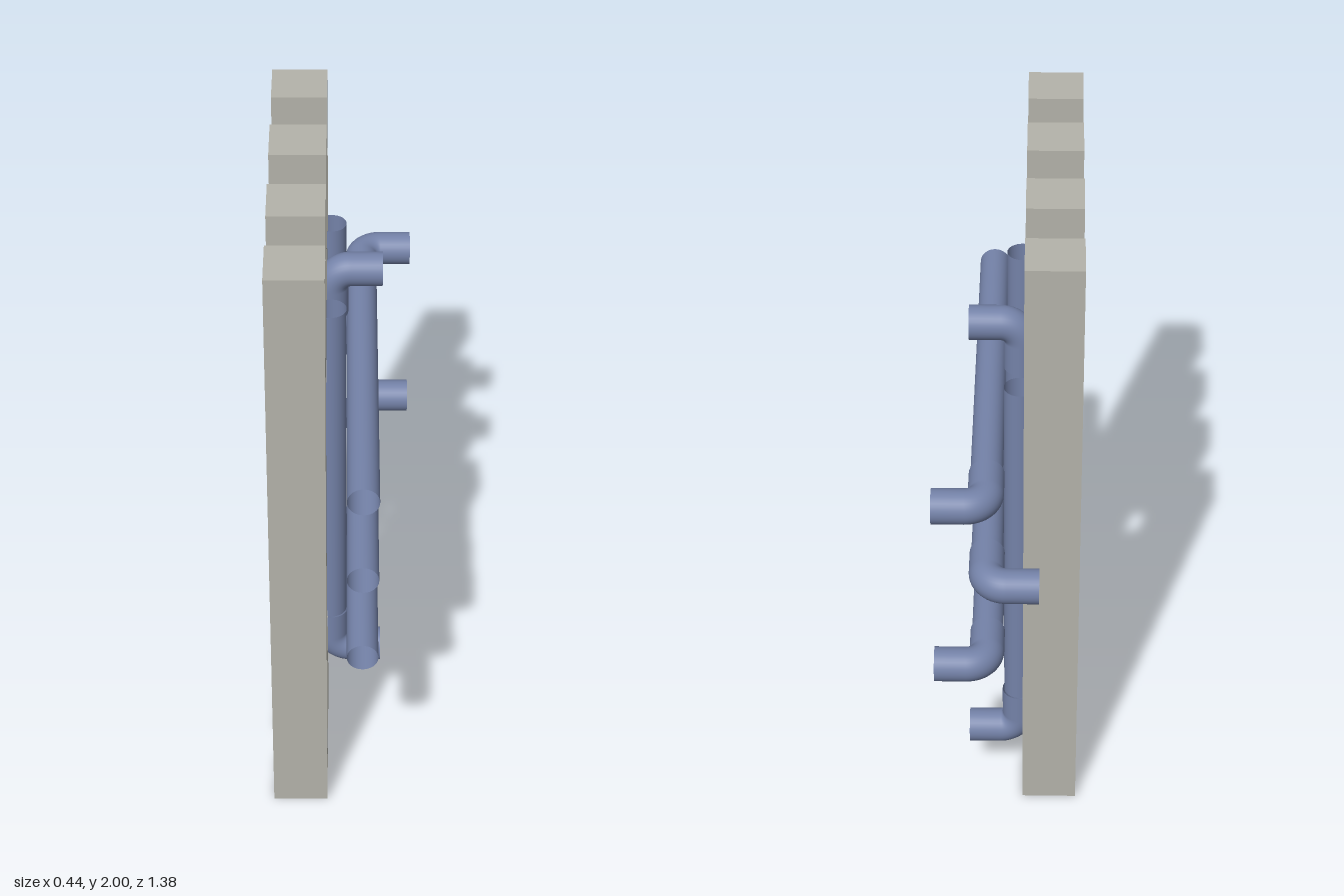
import * as THREE from 'three';

const PIPE_R = 0.048, ELBOW_R = 0.053, LEG = 0.158, BEND = 0.062, LENGTH = 1.17;
const POST_FRONT = -0.05, POST_DEPTH = 0.17;

const stone = new THREE.MeshStandardMaterial({ color: 0xb4b3aa });
const metal = new THREE.MeshStandardMaterial({ color: 0x7482a8, side: THREE.DoubleSide });

// Post piece: outline in (z, y), extruded along x
function postPiece(name, outline) {
  const shape = new THREE.Shape(outline.map(([z, y]) => new THREE.Vector2(z, y)));
  const geo = new THREE.ExtrudeGeometry(shape, { depth: POST_DEPTH, bevelEnabled: false });
  geo.rotateY(-Math.PI / 2).translate(POST_FRONT, 0, 0);
  const mesh = new THREE.Mesh(geo, stone);
  mesh.name = name;
  return mesh;
}

// Elbow centre line: down one leg, round the bend, out along +x
function elbowGeometry() {
  const v = (x, y) => new THREE.Vector3(x, y, 0);
  const k = BEND * (1 - 0.5523);
  const path = new THREE.CurvePath();
  path.add(new THREE.LineCurve3(v(0, LEG), v(0, BEND)));
  path.add(new THREE.CubicBezierCurve3(v(0, BEND), v(0, k), v(k, 0), v(BEND, 0)));
  path.add(new THREE.LineCurve3(v(BEND, 0), v(LEG, 0)));
  return new THREE.TubeGeometry(path, 48, ELBOW_R, 32, false);
}

export function createModel() {
  const model = new THREE.Group();

  // Posts: one whole, two broken through, one chipped along its inner edge
  const posts = new THREE.Group();
  posts.name = 'posts';
  posts.add(
    postPiece('wholePost', [[0.463, 0], [0.635, 0], [0.635, 2], [0.463, 2]]),
    postPiece('brokenPostTopA', [[0.143, 1.43], [0.315, 1.42], [0.315, 2], [0.143, 2]]),
    postPiece('brokenPostBottomA', [[0.143, 0], [0.315, 0], [0.315, 0.52], [0.257, 0.4], [0.143, 0.365]]),
    postPiece('brokenPostTopB', [[-0.19, 1.445], [-0.018, 1.435], [-0.018, 2], [-0.19, 2]]),
    postPiece('brokenPostBottomB', [[-0.19, 0], [-0.018, 0], [-0.018, 0.305], [-0.19, 0.255]]),
    postPiece('chippedPost', [
      [-0.522, 0], [-0.35, 0], [-0.35, 0.21], [-0.4, 0.17], [-0.485, 0.55], [-0.44, 0.8],
      [-0.48, 0.97], [-0.47, 1.2], [-0.35, 1.38], [-0.35, 2], [-0.522, 2],
    ])
  );
  model.add(posts);

  // Open pipe with an elbow; the elbow corner is the local origin
  const pipeGeo = new THREE.CylinderGeometry(PIPE_R, PIPE_R, LENGTH, 32, 1, true);
  pipeGeo.translate(0, LEG + LENGTH / 2, 0);
  const elbowGeo = elbowGeometry();
  function addRun(name, position, rotX, rotY = 0) {
    const run = new THREE.Group();
    run.name = name;
    const pipe = new THREE.Mesh(pipeGeo, metal);
    pipe.name = 'pipe';
    const elbow = new THREE.Mesh(elbowGeo, metal);
    elbow.name = 'elbow';
    run.add(pipe, elbow);
    run.position.set(...position);
    run.rotation.set(rotX, rotY, 0);
    model.add(run);
  }

  // Upright pipes; the middle one is upside down
  addRun('uprightPipeFront', [-0.038, 0.28, 0.205], 0);
  addRun('uprightPipeMiddle', [-0.038, 1.547, -0.097], Math.PI);
  addRun('uprightPipeBack', [-0.038, 0.192, -0.395], 0);

  // Level pipes; the middle elbow turns the other way
  addRun('levelPipeTop', [0.059, 1.267, -0.638], Math.PI / 2);
  addRun('levelPipeMiddle', [0.059, 0.97, -0.638], Math.PI / 2, Math.PI);
  addRun('levelPipeBottom', [0.059, 0.662, -0.638], Math.PI / 2);

  return model;
}
